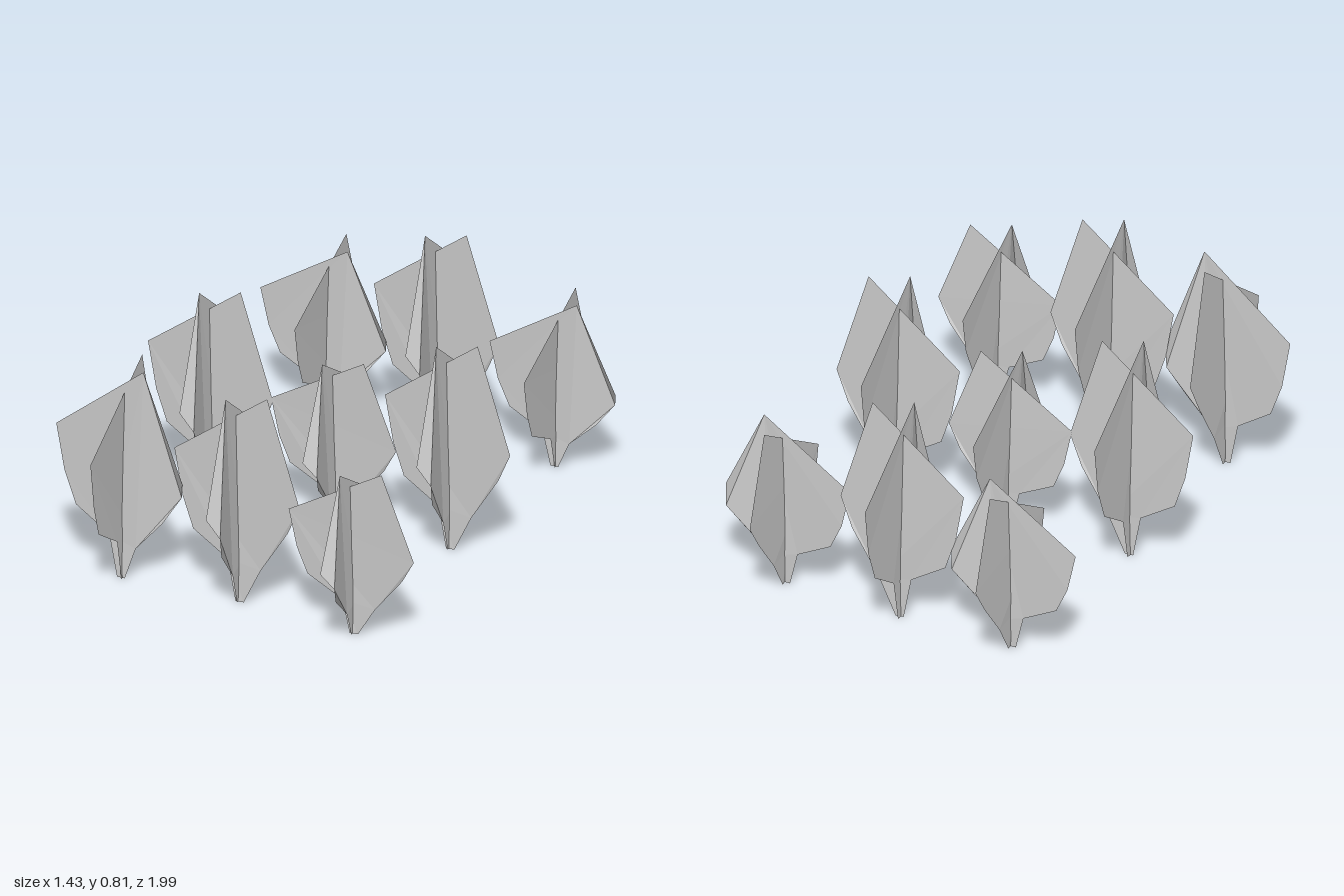
import * as THREE from 'three';

// Leaf outlines, counter-clockwise from the stem foot: [across, height, bulge]
const BROAD = [
  [-0.01, 0, 0], [0.02, 0, 0], [0.06, 0.12, 0], [0.16, 0.235, -0.004], [0.22, 0.335, -0.004],
  [0.245, 0.41, 0], [0.095, 0.805, 0.042], [-0.245, 0.535, 0.015],
  [-0.215, 0.36, 0.005], [-0.17, 0.24, 0], [-0.04, 0.155, 0],
];
const FLAT = [
  [-0.01, 0, 0], [0.02, 0, 0], [0.085, 0.135, 0.003], [0.19, 0.3, 0.006],
  [0.24, 0.41, 0.012], [0.12, 0.805, 0], [-0.245, 0.535, -0.008],
  [-0.215, 0.36, -0.006], [-0.175, 0.24, -0.004], [-0.04, 0.155, 0],
];

// Flat outline filled in, then bent by the bulge of each corner
function leafGeometry(outline, side) {
  const shape = new THREE.Shape(outline.map(([u, y]) => new THREE.Vector2(u, y)));
  const geometry = new THREE.ShapeGeometry(shape);
  outline.forEach((p, i) => geometry.attributes.position.setZ(i, side * p[2]));
  geometry.computeVertexNormals();
  return geometry;
}

// x, z, height factor, quarter turned
const PLANTS = [
  [-0.44, -0.735, 0.79, true], [0, -0.755, 1, false], [0.455, -0.735, 0.79, true],
  [-0.47, 0.01, 1, false], [0.005, 0, 0.79, false], [0.45, 0, 1, false],
  [-0.44, 0.745, 1, true], [0.01, 0.71, 1, false], [0.475, 0.745, 0.79, false],
];

export function createModel() {
  const model = new THREE.Group();
  model.name = 'plantPatch';
  const leafGrey = new THREE.MeshStandardMaterial({
    color: 0xcccccc, side: THREE.DoubleSide, flatShading: true,
  });
  leafGrey.name = 'leafGrey';
  const broad = leafGeometry(BROAD, -1);
  const flat = leafGeometry(FLAT, 1);

  // Each plant is two leaves crossing at the stem
  for (const [x, z, height, turned] of PLANTS) {
    const plant = new THREE.Group();
    plant.name = 'plant';
    const crossLeaf = new THREE.Mesh(flat, leafGrey);
    crossLeaf.name = 'crossLeaf';
    crossLeaf.position.z = 0.012;
    const mainLeaf = new THREE.Mesh(broad, leafGrey);
    mainLeaf.name = 'mainLeaf';
    mainLeaf.rotation.y = -Math.PI / 2;
    plant.add(crossLeaf, mainLeaf);
    plant.position.set(x, 0, z);
    plant.scale.y = height;
    if (turned) plant.rotation.y = Math.PI / 2;
    model.add(plant);
  }
  return model;
}
